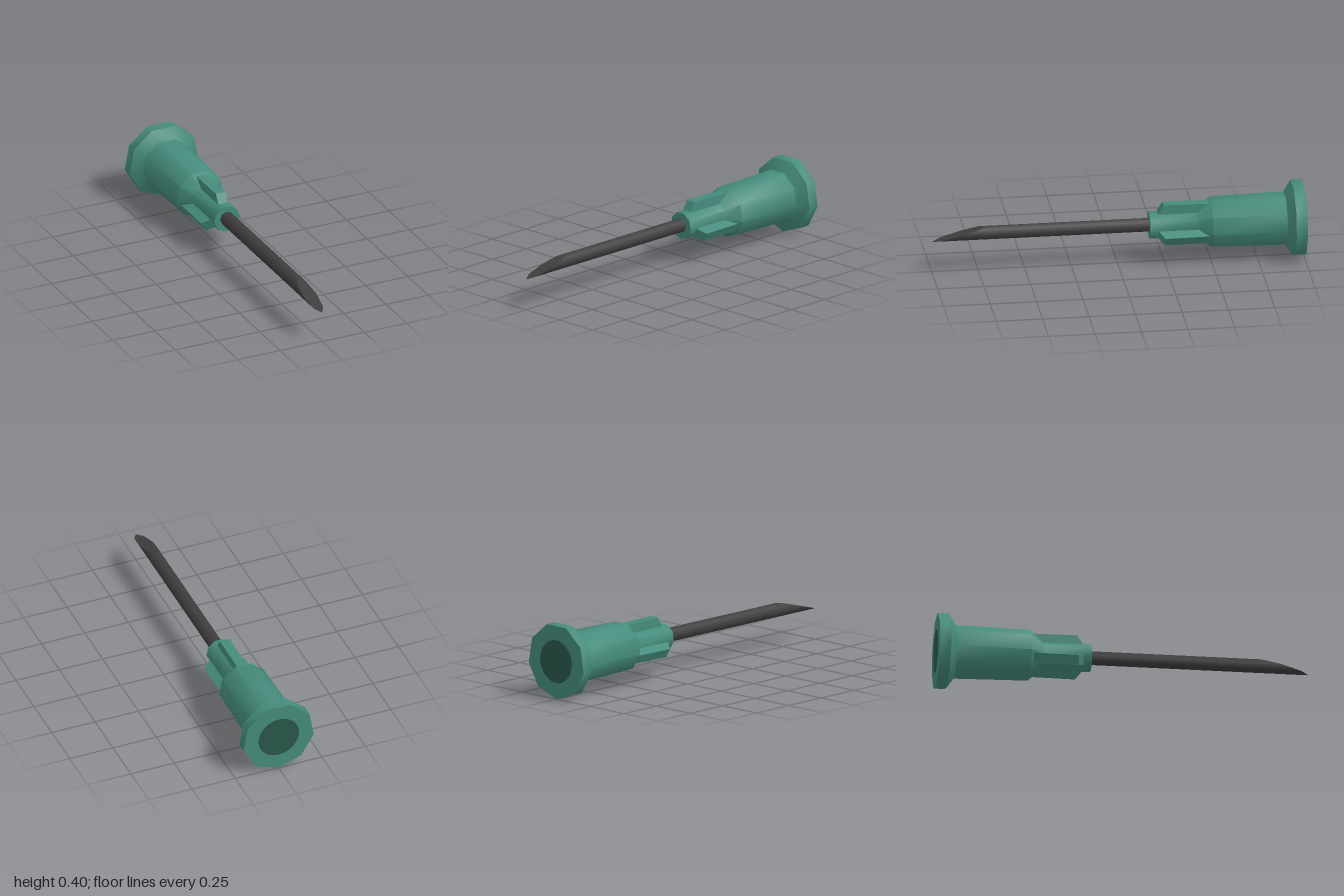
import * as THREE from 'three';
import { toCreasedNormals } from 'three/addons/utils/BufferGeometryUtils.js';

const AXIS_Y = 0.204;

function material(name, color) {
  const m = new THREE.MeshStandardMaterial({ color });
  m.name = name;
  return m;
}

export function createModel() {
  const teal = material('teal plastic', 0x458c7c);
  const darkTeal = material('dark teal', 0x29564a);
  const steel = material('dark steel', 0x3f3d3d);

  const model = new THREE.Group();
  model.name = 'hypodermicNeedle';
  const add = (name, geometry, mat, parent = model) => {
    const mesh = new THREE.Mesh(geometry, mat);
    mesh.name = name;
    parent.add(mesh);
    return mesh;
  };

  // Nine-sided hub: flange, tapered body, collar (radius, z)
  const profile = [
    [0, -1], [0.206, -1], [0.206, -0.94], [0.146, -0.9],
    [0.138, -0.5], [0.075, -0.43], [0.075, -0.17], [0, -0.17],
  ].map(([r, z]) => new THREE.Vector2(r, z));
  const hub = new THREE.LatheGeometry(profile, 9).rotateX(Math.PI / 2);
  add('hub', toCreasedNormals(hub, 0.78), teal).position.y = AXIS_Y;

  // Three grip ribs, drawn as a side outline (z, radius) and extruded across
  const outline = new THREE.Shape([
    [-0.52, 0.04], [-0.215, 0.04], [-0.215, 0.071],
    [-0.245, 0.121], [-0.49, 0.118], [-0.52, 0.118],
  ].map(([z, r]) => new THREE.Vector2(z, r)));
  const width = 0.056;
  const rib = new THREE.ExtrudeGeometry(outline, { depth: width, bevelEnabled: false })
    .translate(0, 0, -width / 2)
    .rotateY(-Math.PI / 2);
  const ribs = new THREE.Group();
  ribs.name = 'gripRibs';
  ribs.position.y = AXIS_Y;
  model.add(ribs);
  for (let i = 0; i < 3; i++) {
    add('gripRib', rib, teal, ribs).rotation.z = (i * Math.PI * 2) / 3;
  }

  // Dark socket opening on the back of the flange
  const socket = add('socketOpening', new THREE.CircleGeometry(0.117, 32), darkTeal);
  socket.rotation.y = Math.PI;
  socket.position.set(0, AXIS_Y, -1.002);

  // Eight-sided shaft whose front end is sheared to a slanted point
  const R = 0.039;
  const bevelZ = (y) => 0.85 - (y / R) * 0.148;
  const shaft = new THREE.CylinderGeometry(R, R, 2, 8, 1, true).rotateX(Math.PI / 2);
  const p = shaft.attributes.position;
  for (let i = 0; i < p.count; i++) {
    p.setZ(i, p.getZ(i) > 0 ? bevelZ(p.getY(i)) : -0.18);
  }
  add('needleShaft', shaft, steel).position.y = AXIS_Y + 0.003;

  const bevel = new THREE.CircleGeometry(R, 8);
  const b = bevel.attributes.position;
  for (let i = 0; i < b.count; i++) b.setZ(i, bevelZ(b.getY(i)));
  bevel.computeVertexNormals();
  add('needleBevel', bevel, steel).position.y = AXIS_Y + 0.003;

  return model;
}
